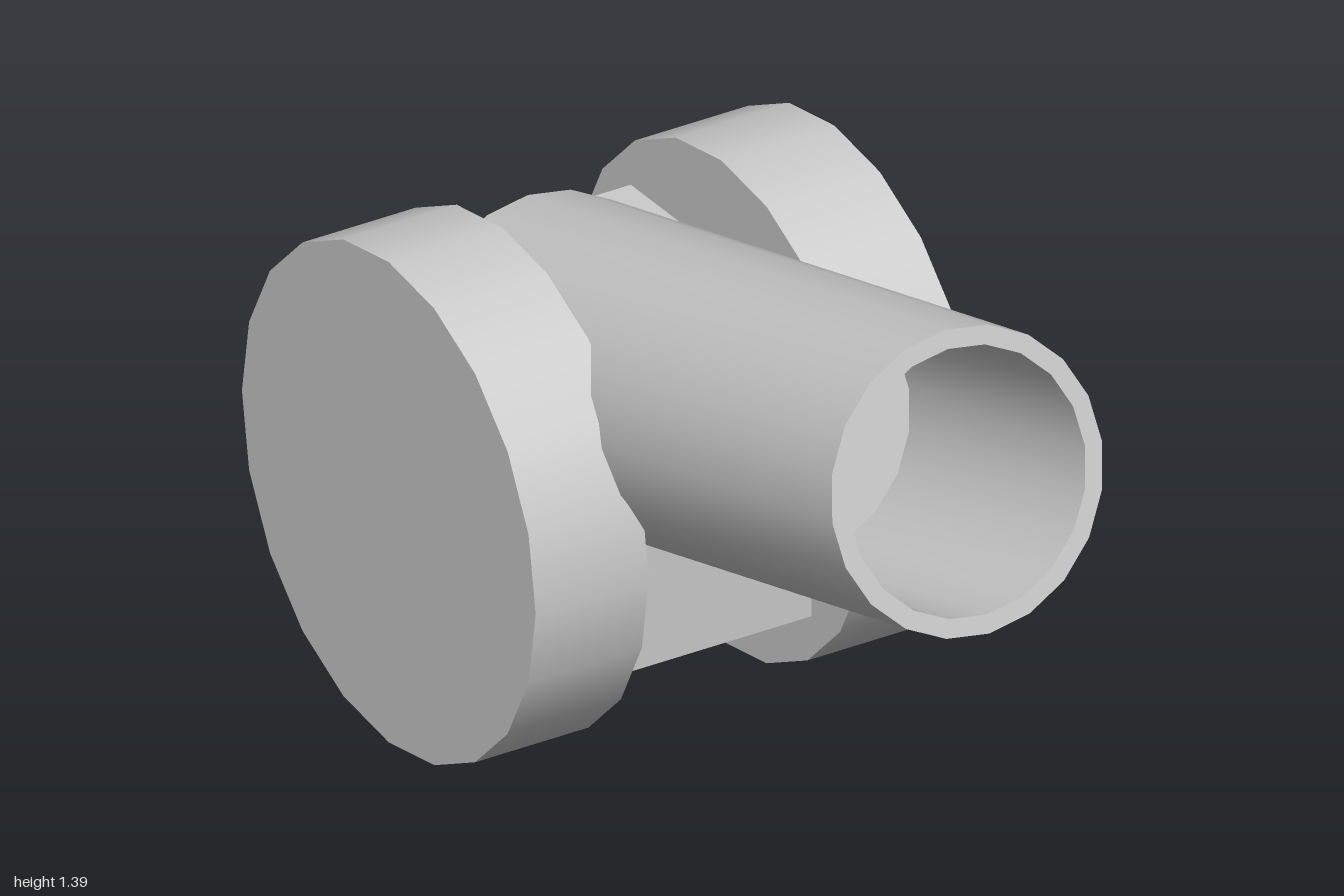
import * as THREE from 'three';
import { toCreasedNormals } from 'three/addons/utils/BufferGeometryUtils.js';

const SIDES = 20;
const AXLE_Y = 0.56, AXLE_Z = -0.44;

export function createModel() {
  const model = new THREE.Group();
  model.name = 'cannon';
  const material = new THREE.MeshStandardMaterial({ color: 0xcccccc });

  const add = (name, geometry, x, y, z) => {
    const mesh = new THREE.Mesh(geometry, material);
    mesh.name = name;
    mesh.position.set(x, y, z);
    model.add(mesh);
    return mesh;
  };

  // Solid wheels, one each side of the carriage
  const wheel = new THREE.CylinderGeometry(0.56, 0.56, 0.274, SIDES).rotateZ(Math.PI / 2);
  for (const [name, side] of [['leftWheel', 1], ['rightWheel', -1]]) {
    add(name, wheel, side * 0.402, AXLE_Y, AXLE_Z);
  }

  // Carriage block between the wheels
  add('carriage', new THREE.BoxGeometry(0.53, 0.685, 0.69), 0, AXLE_Y, AXLE_Z);

  // Barrel with a blind bore, turned around its axis; the origin is the muzzle centre
  const outer = 0.326, bore = 0.285, length = 1.646, depth = 0.695;
  const profile = [
    [0, -length], [outer, -length], [outer, 0],
    [bore, 0], [bore, -depth], [0, -depth],
  ].map(([r, y]) => new THREE.Vector2(r, y));
  const barrelGeometry = toCreasedNormals(new THREE.LatheGeometry(profile, SIDES), 0.7);
  const barrel = add('barrel', barrelGeometry, 0, 1.08, 0.915);
  barrel.rotation.x = THREE.MathUtils.degToRad(75);

  return model;
}
